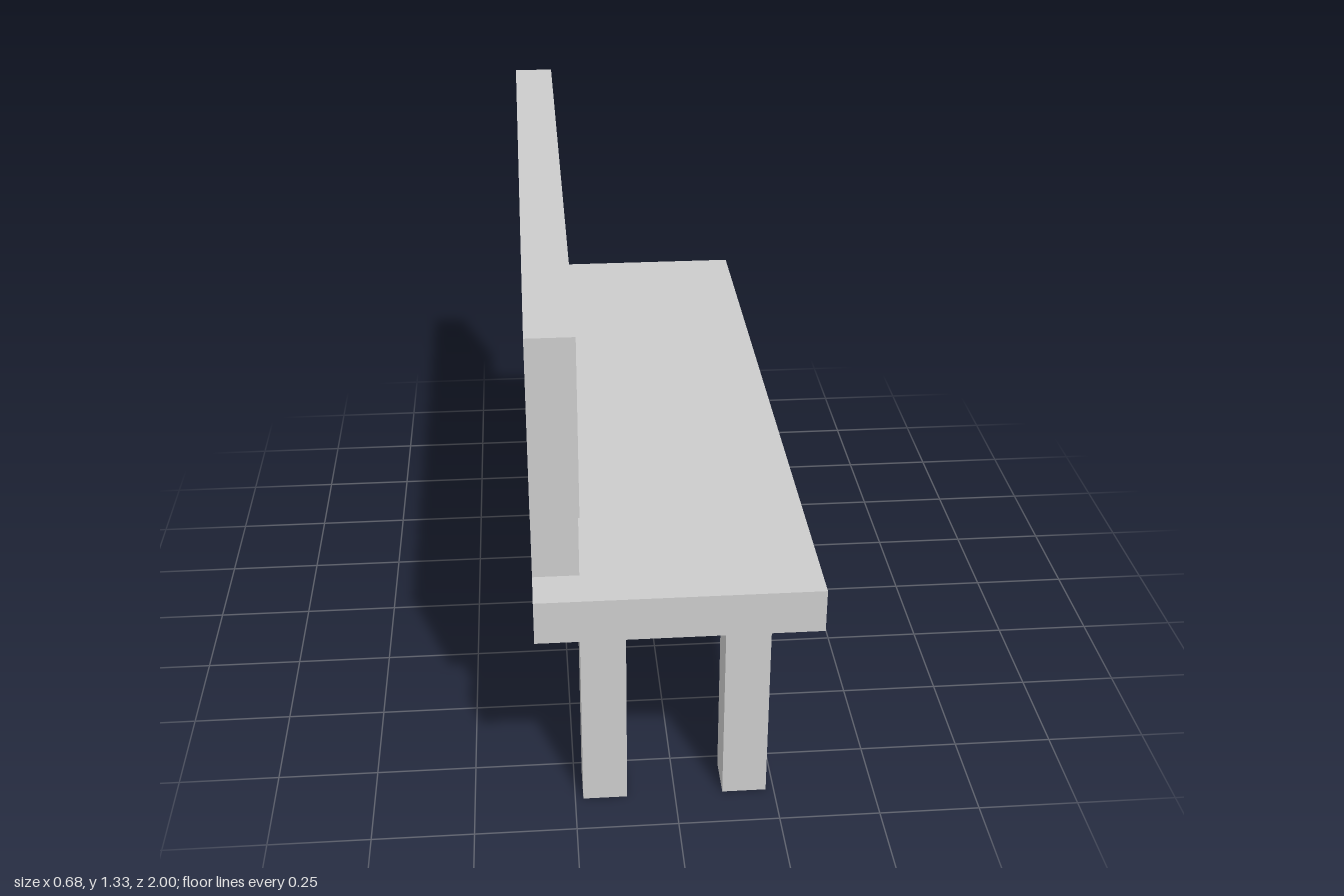
import * as THREE from 'three';

const T = 0.11; // shared timber thickness
const SEAT_BOTTOM = 0.553, SEAT_TOP = 0.663, BACK_BOTTOM = 0.885, BACK_TOP = 1.325;
const HALF_DEPTH = 0.338, POST_Z = 0.835;

export function createModel() {
  const bench = new THREE.Group();
  bench.name = 'bench';
  const material = new THREE.MeshStandardMaterial({ color: 0xcccccc, flatShading: true });

  // Box centred on (x, z), spanning y0 to y1
  const addBox = (name, width, depth, x, z, y0, y1) => {
    const mesh = new THREE.Mesh(new THREE.BoxGeometry(width, y1 - y0, depth), material);
    mesh.name = name;
    mesh.position.set(x, (y0 + y1) / 2, z);
    bench.add(mesh);
  };

  const backX = -HALF_DEPTH + T / 2;

  // Seat slab and backrest board run the full length
  addBox('seat', HALF_DEPTH * 2, 2, 0, 0, SEAT_BOTTOM, SEAT_TOP);
  addBox('backrest', T, 2, backX, 0, BACK_BOTTOM, BACK_TOP);

  // At each end: one backrest post and a pair of legs
  for (const [end, z] of [['front', POST_Z], ['rear', -POST_Z]]) {
    addBox(`${end}BackrestPost`, T, T, backX, z, SEAT_TOP, BACK_BOTTOM);
    for (const [side, x] of [['Left', 0.175], ['Right', -0.175]]) {
      addBox(`${end}${side}Leg`, T, T, x, z, 0, SEAT_BOTTOM);
    }
  }
  return bench;
}
